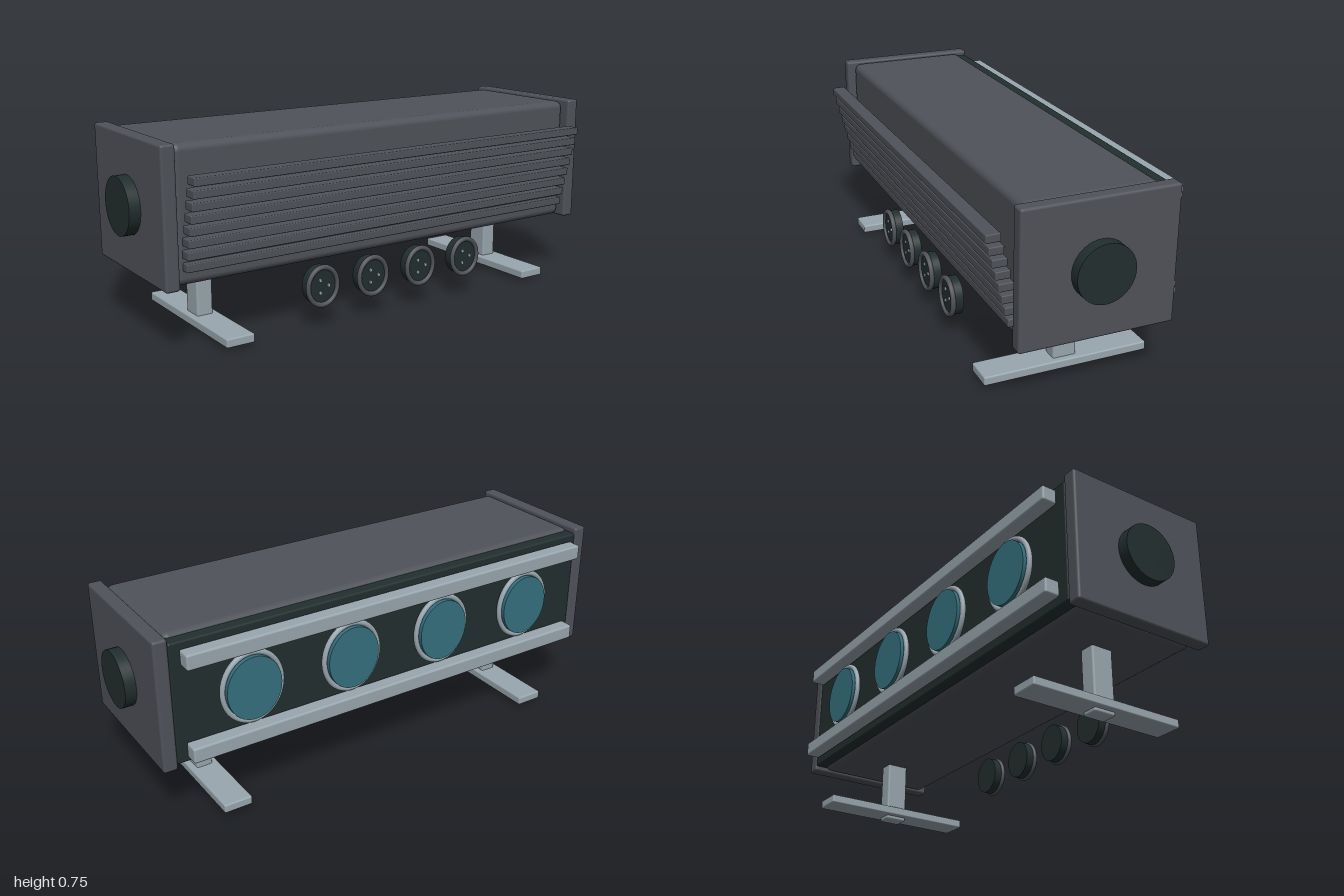
import * as THREE from 'three';
import { RoundedBoxGeometry } from 'three/addons/geometries/RoundedBoxGeometry.js';

const mat = (name, color) => {
  const m = new THREE.MeshStandardMaterial({ color });
  m.name = name;
  return m;
};

export function createModel() {
  const casing = mat('casing grey', 0x4f5259);
  const dark = mat('dark panel', 0x222e2e);
  const metal = mat('light metal', 0x98a6ae);
  const glass = mat('teal glass', 0x34707e);
  const model = new THREE.Group();
  model.name = 'slattedUnit';

  const add = (name, geometry, material, x, y, z, parent = model) => {
    const mesh = new THREE.Mesh(geometry, material);
    mesh.name = name;
    mesh.position.set(x, y, z);
    parent.add(mesh);
    return mesh;
  };
  // Box given by its size, with softly rounded edges
  const box = (w, h, d, r = 0.006) => new RoundedBoxGeometry(w, h, d, 3, r);
  // Disc facing along z
  const disc = (r, depth) => new THREE.CylinderGeometry(r, r, depth, 40).rotateX(Math.PI / 2);

  // Main housing with its dark rear panel
  add('housing', box(1.81, 0.493, 0.505, 0.028), casing, 0, 0.4965, -0.0025);
  add('rearPanel', box(1.81, 0.465, 0.06, 0.008), dark, 0, 0.497, -0.265);

  // Front slats, leaning outward toward the top
  for (let i = 0; i < 8; i++) {
    add('slat', box(1.76, 0.03, 0.054, 0.004), casing, 0, 0.632 - i * 0.0446, 0.335 - i * 0.0115);
  }

  // End plates, round end caps and feet on both sides
  for (const s of [-1, 1]) {
    add('endPlate', box(0.054, 0.505, 0.577, 0.01), casing, s * 0.931, 0.4975, -0.0085);
    const cap = new THREE.CylinderGeometry(0.1075, 0.1075, 0.06, 40).rotateZ(Math.PI / 2);
    add('endCap', cap, dark, s * 0.97, 0.497, -0.008);
    add('post', box(0.064, 0.268, 0.09, 0.008), metal, s * 0.698, 0.136, -0.008);
    add('foot', box(0.112, 0.034, 0.638), metal, s * 0.698, 0.034, -0.008);
  }

  // Rear rails
  for (const y of [0.319, 0.677]) {
    add('rearRail', box(1.74, 0.059, 0.059, 0.008), metal, 0, y, -0.331);
  }

  // Rear lenses and front sockets are slightly narrower than tall
  for (let i = 0; i < 4; i++) {
    const k = i - 1.5;
    const lens = new THREE.Group();
    lens.name = 'lens';
    lens.position.set(k * 0.41, 0.497, 0);
    lens.scale.x = 0.88;
    model.add(lens);
    add('lensRing', new THREE.TorusGeometry(0.132, 0.011, 12, 48), metal, 0, 0, -0.316, lens);
    add('lensGlass', disc(0.122, 0.034), glass, 0, 0, -0.32, lens);

    const socket = new THREE.Group();
    socket.name = 'socket';
    socket.position.set(k * 0.227, 0.162, 0);
    socket.scale.x = 0.88;
    model.add(socket);
    add('socketRing', new THREE.TorusGeometry(0.072, 0.01, 12, 40), casing, 0, 0, 0.286, socket);
    add('socketBody', disc(0.075, 0.041), dark, 0, 0, 0.2655, socket);
    for (let p = 0; p < 3; p++) {
      const a = (p * Math.PI * 2) / 3;
      add('pin', disc(0.007, 0.008), metal, 0.028 * Math.cos(a), 0.028 * Math.sin(a), 0.287, socket);
    }
  }
  return model;
}
